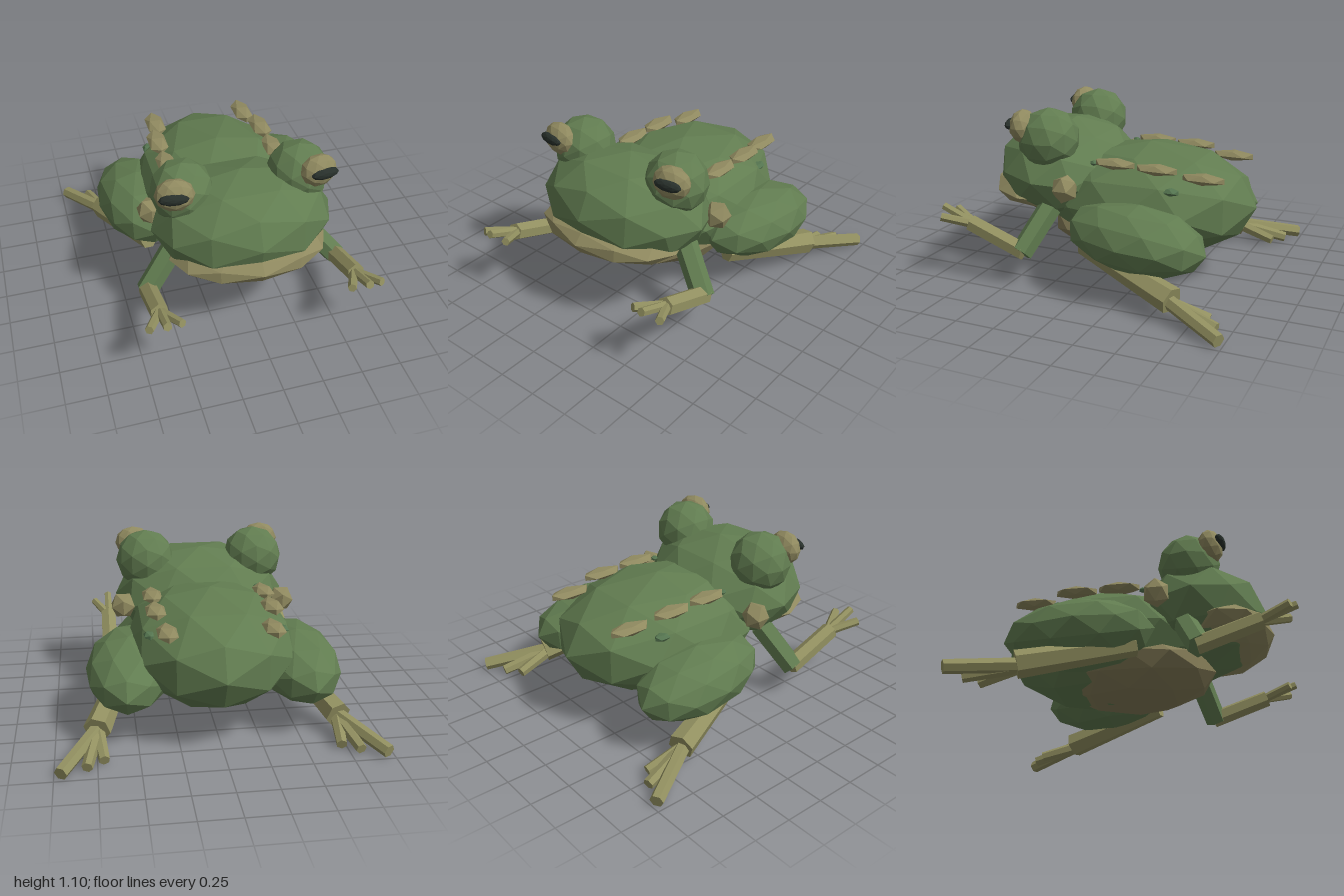
import * as THREE from 'three';

const mat = (name, color) => {
  const m = new THREE.MeshStandardMaterial({ color, flatShading: true });
  m.name = name;
  return m;
};

export function createModel() {
  const green = mat('skin green', 0x617c50);
  const tan = mat('pale tan', 0x8f895f);
  const belly = mat('belly tan', 0x857d58);
  const olive = mat('limb olive', 0x929060);
  const black = mat('pupil black', 0x28302b);
  const moss = mat('wart green', 0x557550);

  const frog = new THREE.Group();
  frog.name = 'frog';

  // Faceted ellipsoid
  function blob(name, material, pos, radii, rot = [0, 0, 0], detail = 1, parent = frog) {
    const mesh = new THREE.Mesh(new THREE.IcosahedronGeometry(1, detail), material);
    mesh.name = name;
    mesh.position.set(...pos);
    mesh.scale.set(...radii);
    mesh.rotation.set(...rot);
    parent.add(mesh);
  }

  // Tapered six-sided limb between two points
  function limb(name, material, from, to, r0, r1, parent) {
    const a = new THREE.Vector3(...from), b = new THREE.Vector3(...to);
    const dir = b.clone().sub(a);
    const mesh = new THREE.Mesh(new THREE.CylinderGeometry(r1, r0, dir.length(), 6), material);
    mesh.name = name;
    mesh.position.copy(a).add(b).multiplyScalar(0.5);
    mesh.quaternion.setFromUnitVectors(new THREE.Vector3(0, 1, 0), dir.normalize());
    parent.add(mesh);
  }

  // Trunk and head
  blob('body', green, [0, 0.497, -0.2], [0.55, 0.363, 0.71]);
  blob('belly', belly, [0, 0.32, -0.06], [0.46, 0.205, 0.53]);
  blob('head', green, [0, 0.655, 0.37], [0.575, 0.325, 0.45], [-0.12, 0, 0]);
  blob('mouth', tan, [0, 0.522, 0.515], [0.5, 0.125, 0.342], [-0.1, 0, 0]);

  // Paired parts, mirrored by the sign of x
  for (const s of [1, -1]) {
    const side = new THREE.Group();
    side.name = s > 0 ? 'leftSide' : 'rightSide';
    frog.add(side);
    const add = (name, m, [x, y, z], r, [rx, ry, rz] = [0, 0, 0], d = 1) =>
      blob(name, m, [x * s, y, z], r, [rx, ry * s, rz * s], d, side);
    const bone = (name, m, a, b, r0, r1) =>
      limb(name, m, [a[0] * s, a[1], a[2]], [b[0] * s, b[1], b[2]], r0, r1, side);

    // Eye
    add('eyeMound', green, [0.367, 0.9, 0.345], [0.198, 0.2, 0.198]);
    add('eyeball', tan, [0.442, 0.985, 0.488], [0.122, 0.106, 0.08], [0, 0.15, 0]);
    add('pupil', black, [0.461, 1.0, 0.552], [0.091, 0.037, 0.033], [0, 0.12, 0]);

    // Eardrum
    add('eardrum', tan, [0.535, 0.638, 0.155], [0.088, 0.092, 0.088], [0, 0, 0], 0);

    // Back ridges and warts
    for (const [x, y, z] of [[0.36, 0.783, -0.105], [0.36, 0.775, -0.38], [0.315, 0.735, -0.66]])
      add('backRidge', tan, [x, y, z], [0.07, 0.034, 0.153], [0, 0, 0], 0);
    add('wart', moss, [0.405, 0.66, -0.485], [0.042, 0.025, 0.062], [0, 0, 0], 0);
    add('wart', moss, [0.345, 0.768, 0.045], [0.022, 0.018, 0.026], [0, 0, 0], 0);

    // Hind leg
    add('thigh', green, [0.53, 0.385, -0.315], [0.268, 0.212, 0.46], [-0.08, -0.08, 0]);
    bone('shin', olive, [0.53, 0.29, 0.03], [0.745, 0.125, -0.63], 0.06, 0.085);
    bone('hindToe', olive, [0.74, 0.12, -0.6], [0.96, 0.042, -0.98], 0.045, 0.042);
    bone('hindToe', olive, [0.74, 0.11, -0.6], [0.81, 0.037, -0.92], 0.042, 0.034);
    bone('hindToe', olive, [0.74, 0.11, -0.6], [0.71, 0.037, -0.85], 0.042, 0.034);

    // Front leg
    bone('upperArm', green, [0.42, 0.47, 0.32], [0.635, 0.217, 0.418], 0.075, 0.072);
    bone('forearm', olive, [0.628, 0.225, 0.4], [0.624, 0.36, 0.78], 0.06, 0.058);
    for (const [x, y, z] of [[0.62, 0.447, 0.985], [0.72, 0.41, 0.945], [0.525, 0.41, 0.945]])
      bone('finger', olive, [0.62, 0.355, 0.755], [x, y, z], 0.03, 0.027);
  }
  return frog;
}
